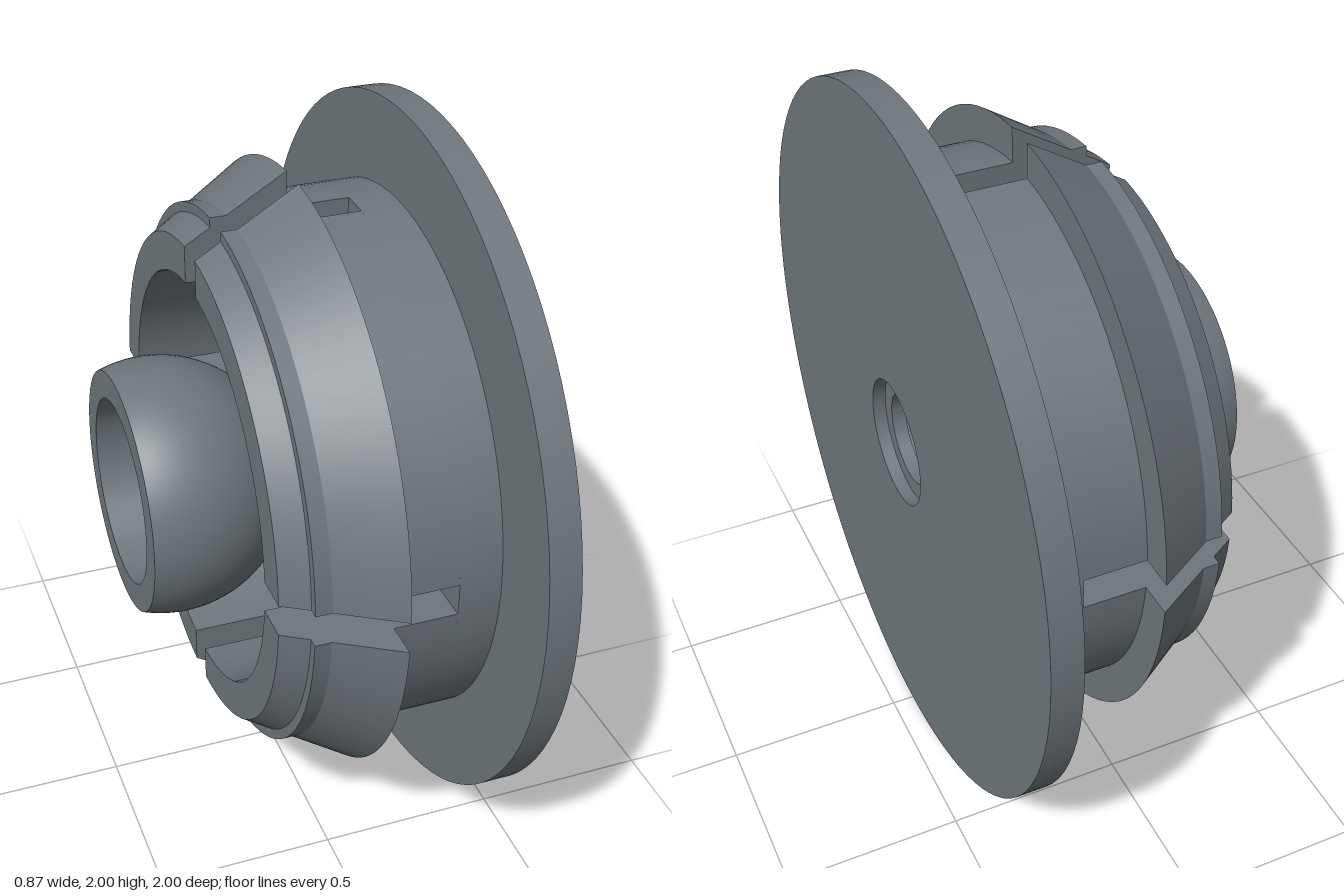
import * as THREE from 'three';
import { toCreasedNormals } from 'three/addons/utils/BufferGeometryUtils.js';

const CREASE = 0.4;
const SLOT = 0.045; // half width of the four slots
const STEPS = 24; // facets per quarter turn

const material = new THREE.MeshStandardMaterial({ color: 0x6e777d });

// Closed profile of [radius, x] pairs turned about the x axis
function turned(profile) {
  const points = [...profile, profile[0]].map(([r, x]) => new THREE.Vector2(r, x));
  const geometry = new THREE.LatheGeometry(points, 4 * STEPS).rotateZ(-Math.PI / 2);
  return toCreasedNormals(geometry, CREASE);
}

// Quarter-turn sweep of a profile whose two ends are parallel to the slots
function quarter(profile) {
  const positions = [];
  const first = 1, last = STEPS - 1;
  const at = ([r, x], k) => {
    const inset = Math.asin(SLOT / r);
    let t = (Math.PI / 2) * (k / STEPS);
    if (k === first) t = inset;
    if (k === last) t = Math.PI / 2 - inset;
    return [x, r * Math.cos(t), r * Math.sin(t)];
  };
  // Swept skin, left open where it joins the base ring
  for (let i = 0; i < profile.length - 1; i++) {
    for (let k = first; k < last; k++) {
      const a = at(profile[i], k), b = at(profile[i], k + 1);
      const c = at(profile[i + 1], k + 1), d = at(profile[i + 1], k);
      positions.push(...a, ...b, ...c, ...a, ...c, ...d);
    }
  }
  // Flat slot walls
  const contour = profile.map(([r, x]) => new THREE.Vector2(r, x));
  for (const [a, b, c] of THREE.ShapeUtils.triangulateShape(contour, [])) {
    positions.push(...at(profile[a], first), ...at(profile[b], first), ...at(profile[c], first));
    positions.push(...at(profile[a], last), ...at(profile[c], last), ...at(profile[b], last));
  }
  const geometry = new THREE.BufferGeometry();
  geometry.setAttribute('position', new THREE.Float32BufferAttribute(positions, 3));
  return toCreasedNormals(geometry, CREASE);
}

export function createModel() {
  const model = new THREE.Group();
  const add = (name, geometry) => {
    const mesh = new THREE.Mesh(geometry, material);
    mesh.name = name;
    mesh.position.y = 1;
    model.add(mesh);
    return mesh;
  };

  // Rounded outside of the hollow ball, from its open mouth to the neck
  const ball = [];
  const center = -0.322, radius = 0.357, mouth = -0.437, neck = 0.167;
  const from = Math.asin((mouth - center) / radius), to = Math.acos(neck / radius);
  for (let i = 0; i <= 20; i++) {
    const a = from + (to - from) * (i / 20);
    ball.push([radius * Math.cos(a), center + radius * Math.sin(a)]);
  }

  // Flange, base ring of the skirt, neck and ball in one turned body;
  // a thin lip narrows the bore just behind the counterbore
  add('flangeAndHub', turned([
    [0.13, 0.4], [0.13, 0.36], [0.15, 0.36], [0.15, -0.12], [0.26, -0.12], [0.26, mouth],
    ...ball,
    [neck, 0.35], [0.58, 0.35], [0.58, 0.234], [0.755, 0.234], [0.755, 0.35],
    [1, 0.35], [1, 0.437], [0.18, 0.437], [0.18, 0.4],
  ]));

  // Four barbed snap fingers separated by slots
  const finger = quarter([
    [0.58, 0.234], [0.58, -0.22], [0.685, -0.22], [0.7275, -0.15], [0.755, -0.15],
    [0.755, -0.105], [0.855, 0.06], [0.755, 0.06], [0.755, 0.234],
  ]);
  for (let i = 0; i < 4; i++) {
    add('snapFinger' + (i + 1), finger).rotation.x = (i * Math.PI) / 2;
  }

  return model;
}
